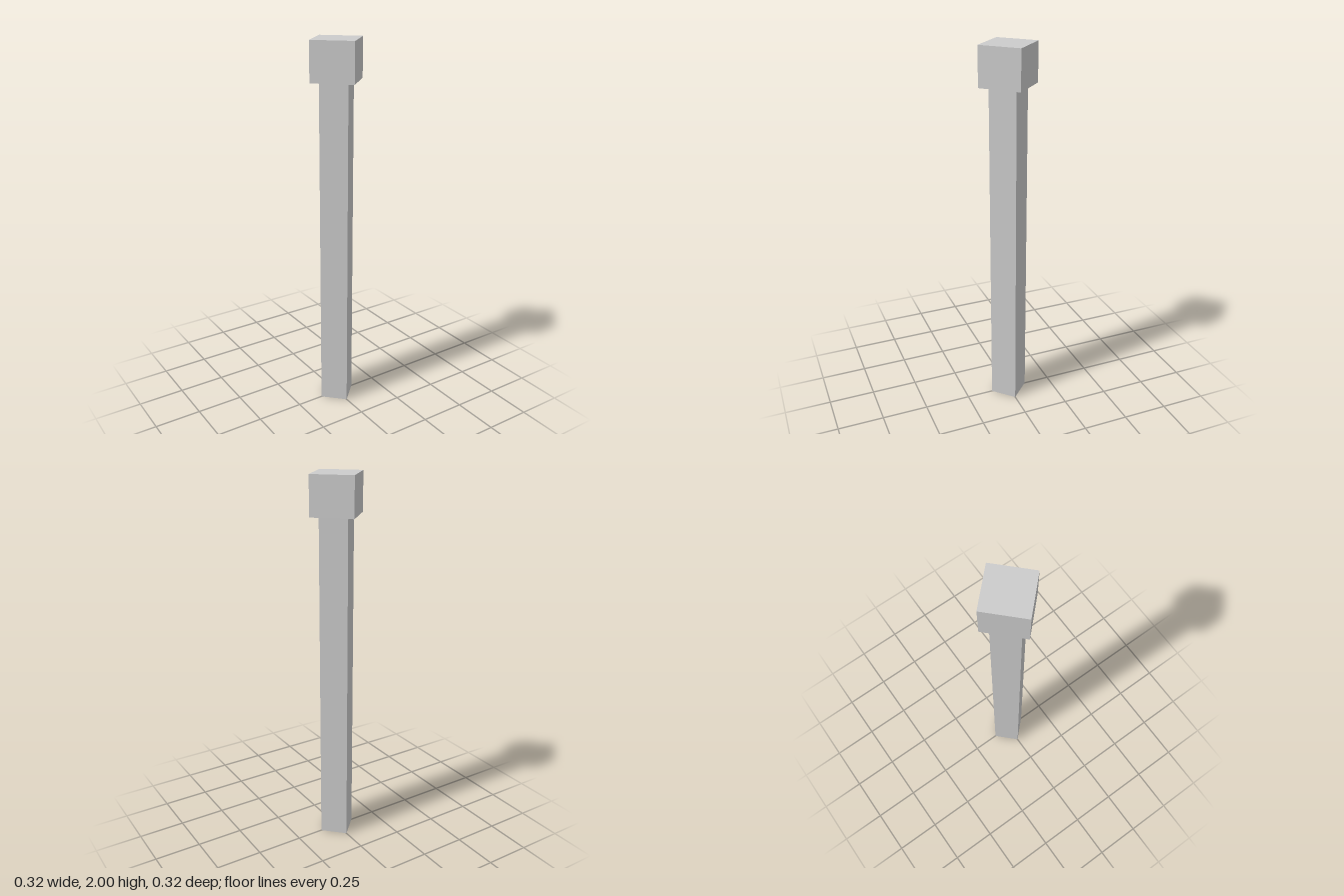
import * as THREE from 'three';

const material = new THREE.MeshStandardMaterial({ color: 0xcccccc, flatShading: true });

// Square block standing on height y0
function block(name, side, y0, y1) {
  const mesh = new THREE.Mesh(new THREE.BoxGeometry(side, y1 - y0, side), material);
  mesh.name = name;
  mesh.position.y = (y0 + y1) / 2;
  return mesh;
}

export function createModel() {
  const post = new THREE.Group();
  post.name = 'post';

  // Long square shaft with a wider square cap on top
  post.add(block('shaft', 0.147, 0, 1.795));
  post.add(block('cap', 0.223, 1.795, 2));

  // Corners point along x and z
  post.rotation.y = Math.PI / 4;

  const model = new THREE.Group();
  model.name = 'cappedPost';
  model.add(post);
  return model;
}
